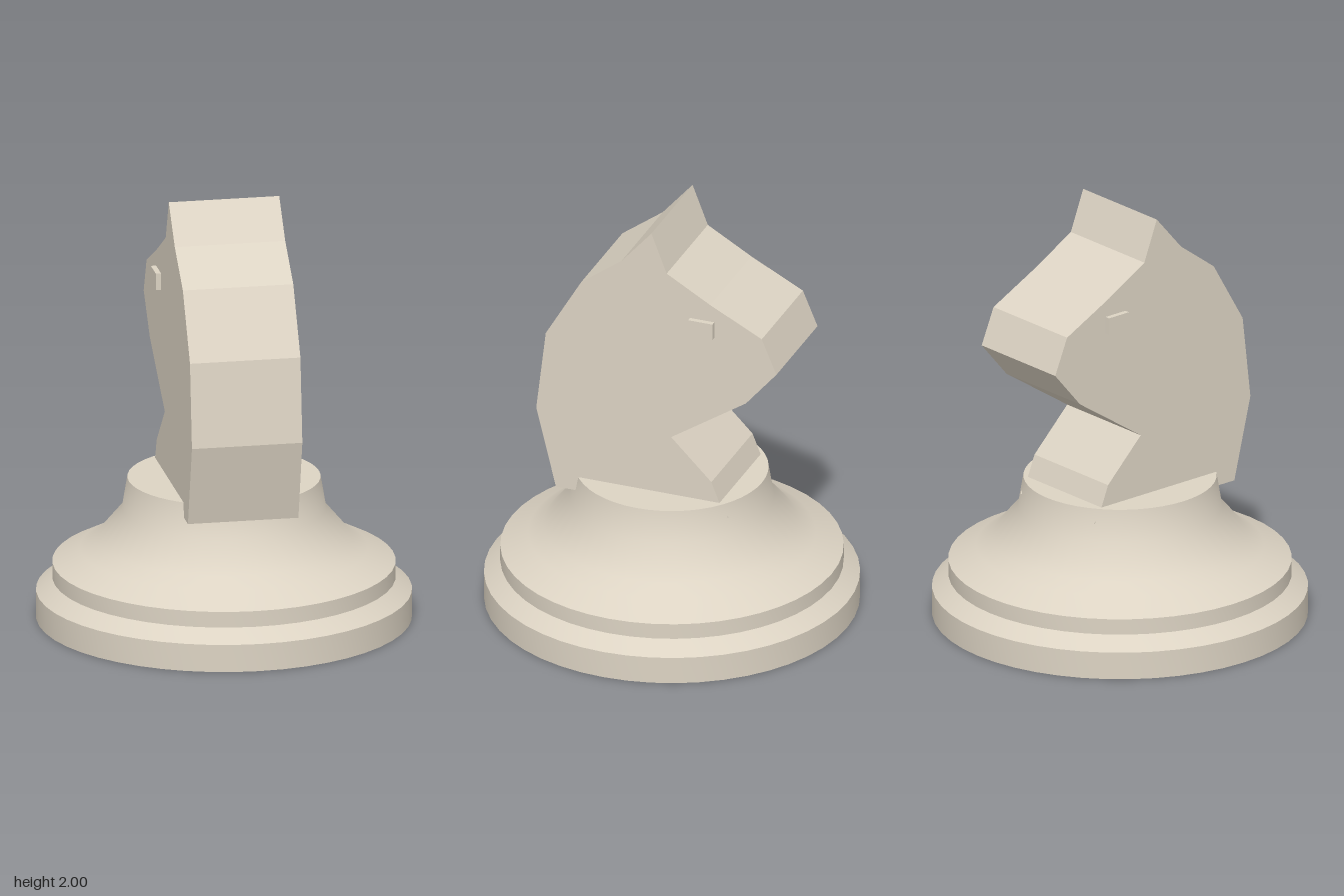
import * as THREE from 'three';
import { toCreasedNormals } from 'three/addons/utils/BufferGeometryUtils.js';

export function createModel() {
  const group = new THREE.Group();
  const ivory = new THREE.MeshStandardMaterial({ color: 0xdcd3c3 });
  ivory.name = 'ivory';

  const add = (name, geometry) => {
    const mesh = new THREE.Mesh(geometry, ivory);
    mesh.name = name;
    group.add(mesh);
    return mesh;
  };

  // Turned base: plinth, chamfer, band and smooth cove up to the collar
  const baseProfile = [
    [0, 0], [0.862, 0], [0.862, 0.13], [0.787, 0.19], [0.787, 0.265],
    [0.66, 0.33], [0.59, 0.375], [0.468, 0.52], [0.443, 0.67], [0, 0.67],
  ].map(([r, y]) => new THREE.Vector2(r, y));
  add('base', toCreasedNormals(new THREE.LatheGeometry(baseProfile, 48), 0.65));

  // Horse head: side outline as (z, y), extruded across x
  const outline = [
    [-0.38, 0.6], [-0.335, 0.67], [-0.295, 0.77], [-0.097, 0.965],
    [-0.465, 1.21], [-0.615, 1.387], [-0.543, 1.557], [-0.29, 1.685],
    [-0.075, 1.807], [0, 2], [0.147, 1.83], [0.345, 1.683],
    [0.52, 1.385], [0.567, 0.99], [0.47, 0.6],
  ].map(([z, y]) => new THREE.Vector2(-z, y));
  const width = 0.515;
  const headGeometry = new THREE.ExtrudeGeometry(new THREE.Shape(outline), {
    depth: width, bevelEnabled: false,
  });
  headGeometry.translate(0, 0, -width / 2).rotateY(Math.PI / 2);
  add('head', headGeometry);

  // Raised rectangular eyes on both sides
  for (const [name, side] of [['leftEye', 1], ['rightEye', -1]]) {
    const eye = add(name, new THREE.BoxGeometry(0.05, 0.08, 0.12));
    eye.position.set(side * 0.257, 1.56, -0.25);
  }

  return group;
}
